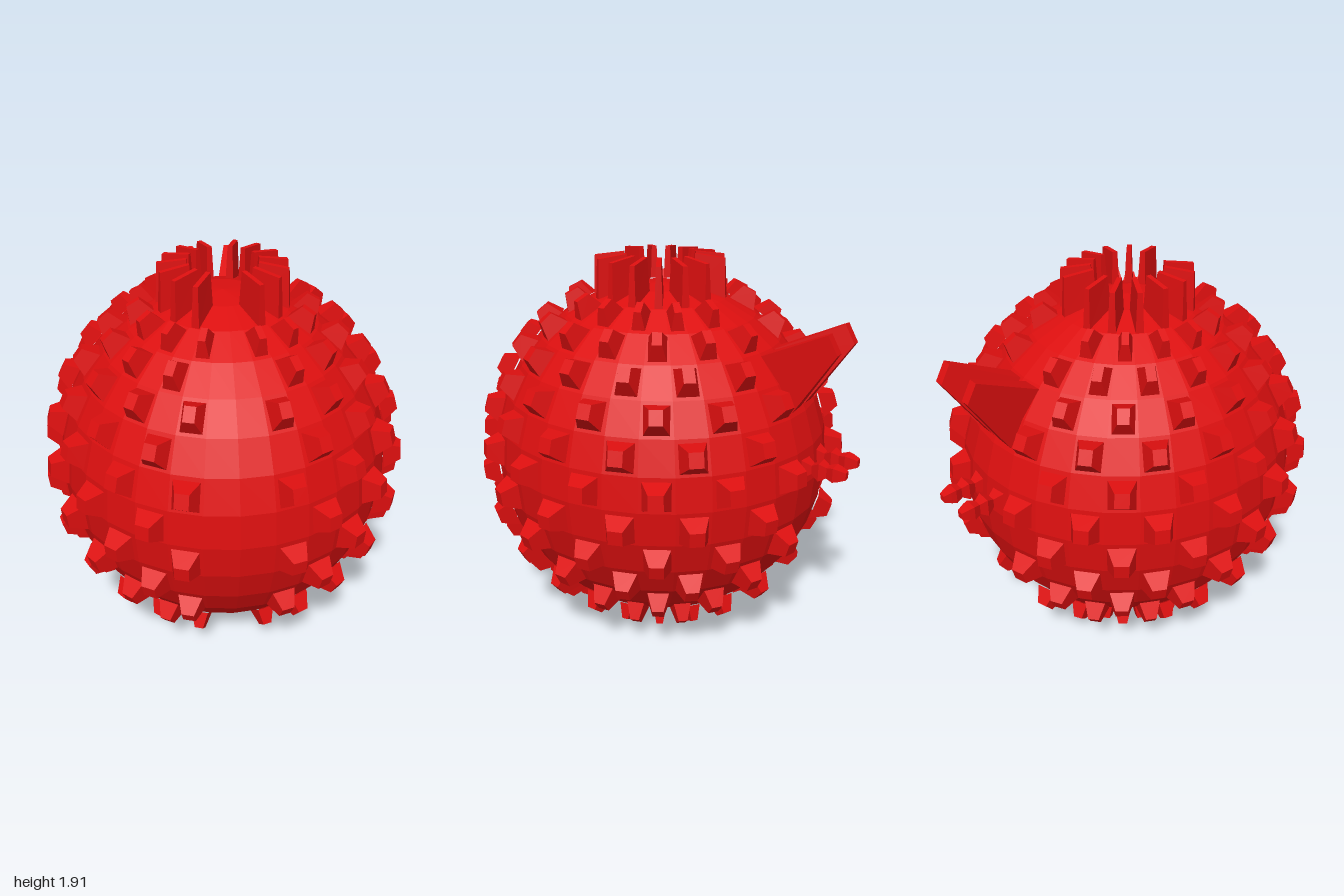
import * as THREE from 'three';

const RINGS = 16, COLS = 32;
const CENTER = new THREE.Vector3(0, 0.89, 0.07);
const RADII = new THREE.Vector3(0.84, 0.88, 0.88);
const red = new THREE.MeshStandardMaterial({ color: 0xdd0f0f, flatShading: true });

// Unit direction at ring v (0 = top pole) and column u (0 = front, rising towards +x)
function direction(v, u) {
  const t = v * Math.PI / RINGS, a = u * 2 * Math.PI / COLS;
  return new THREE.Vector3(Math.sin(t) * Math.sin(a), Math.cos(t), Math.sin(t) * Math.cos(a));
}
const surface = (v, u) => direction(v, u).multiply(RADII).add(CENTER);

// Four corners of a body panel, shrunk towards its middle
function panel(row, col, scaleV, scaleU = scaleV) {
  const mid = surface(row + 0.5, col + 0.5);
  const top = surface(row, col + 0.5).sub(surface(row + 1, col + 0.5)).multiplyScalar(scaleV / 2);
  const across = surface(row + 0.5, col + 1).sub(surface(row + 0.5, col)).multiplyScalar(scaleU / 2);
  return [[-1, -1], [1, -1], [1, 1], [-1, 1]].map(([s, t]) =>
    mid.clone().addScaledVector(across, s).addScaledVector(top, t));
}

// Adds a capped loft through four-cornered rings and its mirror image
function addLoft(out, rings) {
  for (const side of [1, -1]) {
    const r = rings.map(ring => {
      const pts = ring.map(p => [p.x * side, p.y, p.z]);
      return side < 0 ? pts.reverse() : pts;
    });
    const quad = (a, b, c, d) => out.push(...a, ...b, ...c, ...a, ...c, ...d);
    for (let n = 0; n < r.length - 1; n++) {
      for (let i = 0; i < 4; i++) {
        const j = (i + 1) % 4;
        quad(r[n][i], r[n][j], r[n + 1][j], r[n + 1][i]);
      }
    }
    quad(...r[r.length - 1]);
  }
}

function loftMesh(name, positions) {
  const geometry = new THREE.BufferGeometry();
  geometry.setAttribute('position', new THREE.Float32BufferAttribute(positions, 3));
  geometry.computeVertexNormals();
  const mesh = new THREE.Mesh(geometry, red);
  mesh.name = name;
  return mesh;
}

// Rectangle facing backwards: x range, then bottom and top edges as [y, z]
function backRing(x0, x1, [yb, zb], [yt, zt]) {
  return [[x1, yb, zb], [x0, yb, zb], [x0, yt, zt], [x1, yt, zt]].map(p => new THREE.Vector3(...p));
}

export function createModel() {
  const group = new THREE.Group();

  // Faceted round body
  const body = new THREE.Mesh(new THREE.SphereGeometry(1, COLS, RINGS), red);
  body.name = 'body';
  body.scale.copy(RADII);
  body.position.copy(CENTER);
  group.add(body);

  // Crown of upright blades around the top
  const crown = [];
  for (let col = 2; col <= 14; col += 2) {
    const base = panel(1, col, 1, 0.8);
    const tip = panel(1, col, 0.9, 0.5).map(p => p.setY(1.91 + (p.y - 1.73) * 0.4));
    addLoft(crown, [base, tip]);
  }
  group.add(loftMesh('crownBlades', crown));

  // Staggered rows of blunt spikes
  for (let row = 2; row <= 13; row++) {
    const spikes = [];
    for (let col = row % 2 ? 2 : 1; col <= 14; col += 2) {
      const out = direction(row + 0.5, col + 0.5).multiplyScalar(0.083);
      const base = panel(row, col, 0.8);
      const tip = panel(row, col, 0.42).map(p => p.add(out));
      addLoft(spikes, [base, tip]);
    }
    group.add(loftMesh('spikeRow', spikes));
  }

  // Pair of tall fins high on the back
  const fins = [];
  addLoft(fins, [
    backRing(0.02, 0.12, [1.23, -0.71], [1.5, -0.55]),
    backRing(0.09, 0.14, [1.56, -0.93], [1.65, -0.88]),
  ]);
  group.add(loftMesh('backFins', fins));

  // Pair of beaded tails: [z, half width, half height]
  const tails = [];
  addLoft(tails, [
    [-0.78, 0.045, 0.05], [-0.83, 0.02, 0.022], [-0.87, 0.038, 0.045], [-0.905, 0.022, 0.027],
    [-0.94, 0.035, 0.036], [-0.965, 0.03, 0.03], [-1, 0.018, 0.018],
  ].map(([z, w, h]) => backRing(0.085 - w, 0.085 + w, [0.972 - h, z], [0.972 + h, z])));
  group.add(loftMesh('beadedTails', tails));

  return group;
}
